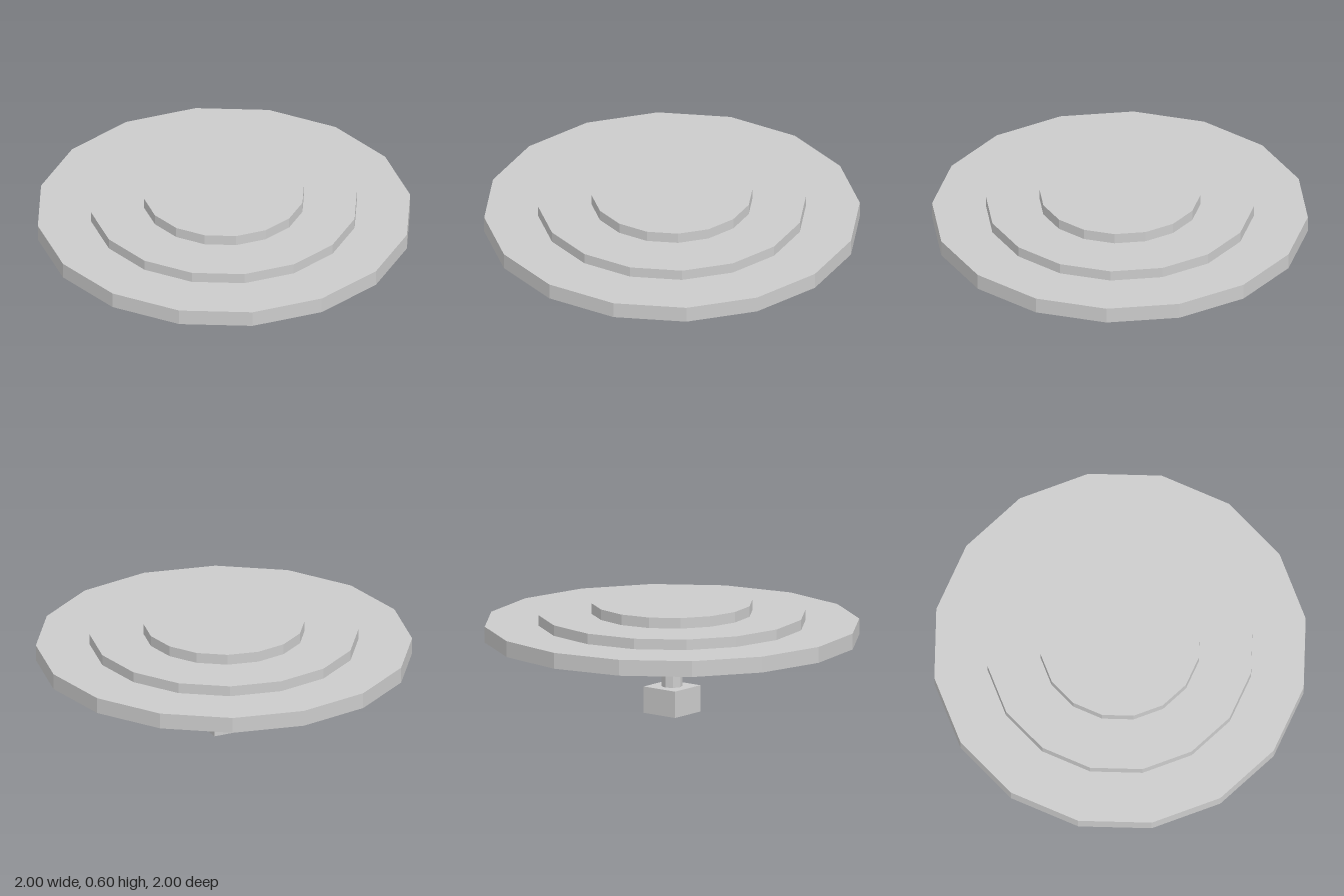
import * as THREE from 'three';

export function createModel() {
  const group = new THREE.Group();
  const material = new THREE.MeshStandardMaterial({ color: 0xcccccc, flatShading: true });

  // Adds a part standing on height y
  const add = (name, geometry, y, height) => {
    const mesh = new THREE.Mesh(geometry, material);
    mesh.name = name;
    mesh.position.y = y + height / 2;
    group.add(mesh);
  };

  // Square foot and octagonal stem
  add('foot', new THREE.BoxGeometry(0.214, 0.143, 0.214), 0, 0.143);
  add('stem', new THREE.CylinderGeometry(0.057, 0.057, 0.257, 8), 0.143, 0.257);

  // Stacked sixteen-sided discs, widest at the bottom
  let y = 0.4;
  for (const [name, radius, height] of [
    ['lowerDisc', 1, 0.086],
    ['middleDisc', 0.714, 0.057],
    ['upperDisc', 0.429, 0.057],
  ]) {
    add(name, new THREE.CylinderGeometry(radius, radius, height, 16), y, height);
    y += height;
  }
  return group;
}
